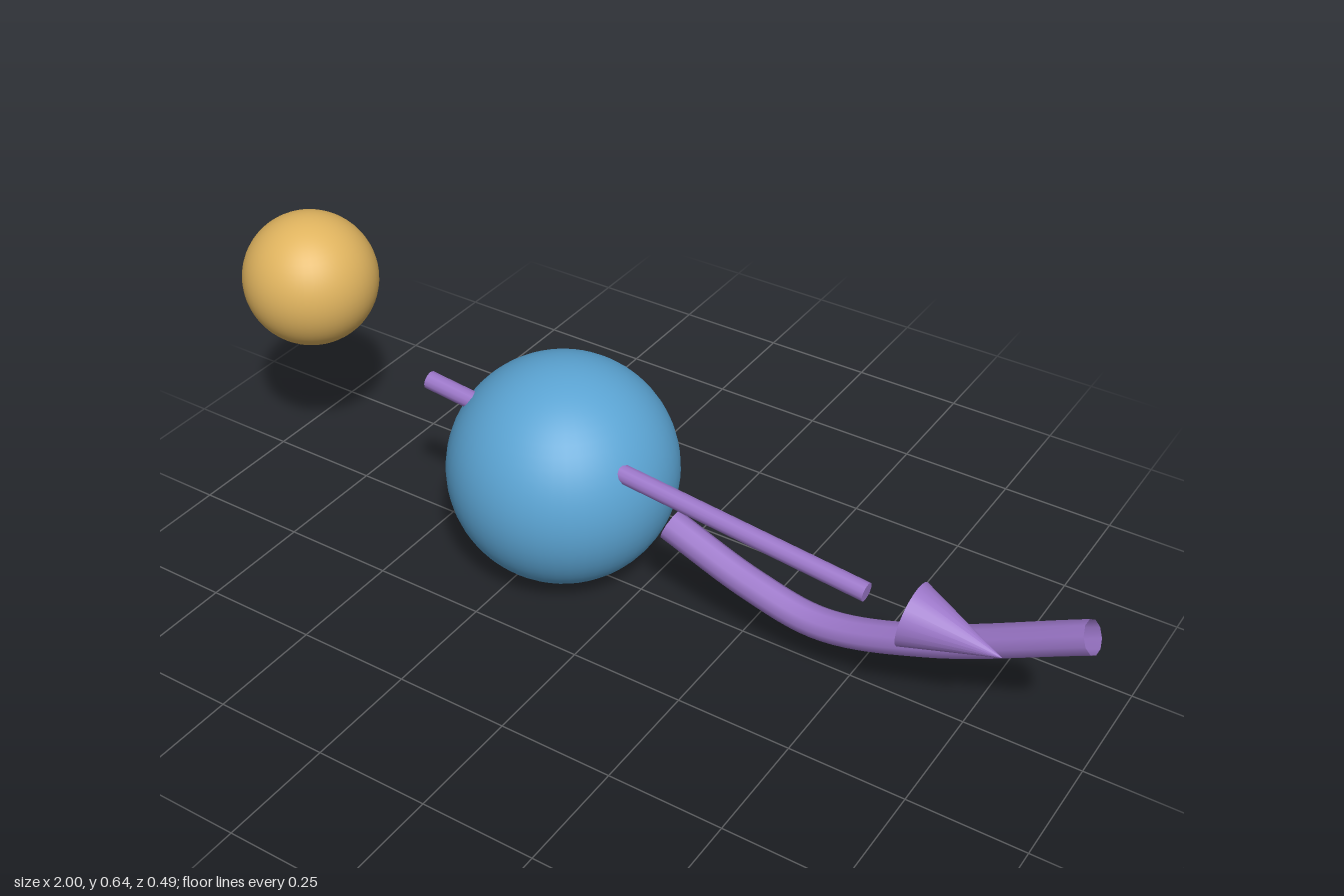
import * as THREE from 'three';

export function createModel() {
  const group = new THREE.Group();
  const blue = new THREE.MeshStandardMaterial({ color: 0x5ba4d3 });
  blue.name = 'blue';
  const gold = new THREE.MeshStandardMaterial({ color: 0xe0b45f });
  gold.name = 'gold';
  const purple = new THREE.MeshStandardMaterial({ color: 0x9b76c8, side: THREE.DoubleSide });
  purple.name = 'purple';

  const add = (name, geometry, material, x = 0, y = 0, z = 0) => {
    const mesh = new THREE.Mesh(geometry, material);
    mesh.name = name;
    mesh.position.set(x, y, z);
    group.add(mesh);
    return mesh;
  };

  // Two balls
  add('largeBall', new THREE.SphereGeometry(0.246, 48, 32), blue, -0.194, 0.246, 0);
  add('smallBall', new THREE.SphereGeometry(0.147, 48, 32), gold, -0.853, 0.492, 0);

  // Arrow: shaft through the large ball, then a separate cone on the same line
  const start = new THREE.Vector3(-0.477, 0.402, 0.074);
  const end = new THREE.Vector3(0.555, 0.292, 0.074);
  const direction = end.clone().sub(start).normalize();
  const tilt = new THREE.Quaternion().setFromUnitVectors(new THREE.Vector3(0, 1, 0), direction);
  const middle = start.clone().lerp(end, 0.5);
  add('arrowShaft', new THREE.CylinderGeometry(0.02, 0.02, start.distanceTo(end), 12), purple,
    middle.x, middle.y, middle.z).quaternion.copy(tilt);
  add('arrowHead', new THREE.ConeGeometry(0.067, 0.187, 24), purple,
    0.744, 0.272, 0.074).quaternion.copy(tilt);

  // Curved open tube
  const path = new THREE.CatmullRomCurve3([
    [0.087, 0.227], [0.28, 0.155], [0.44, 0.126], [0.66, 0.186], [0.982, 0.345],
  ].map(([x, y]) => new THREE.Vector3(x, y, 0.025)));
  add('curvedTube', new THREE.TubeGeometry(path, 40, 0.034, 10, false), purple);

  return group;
}
